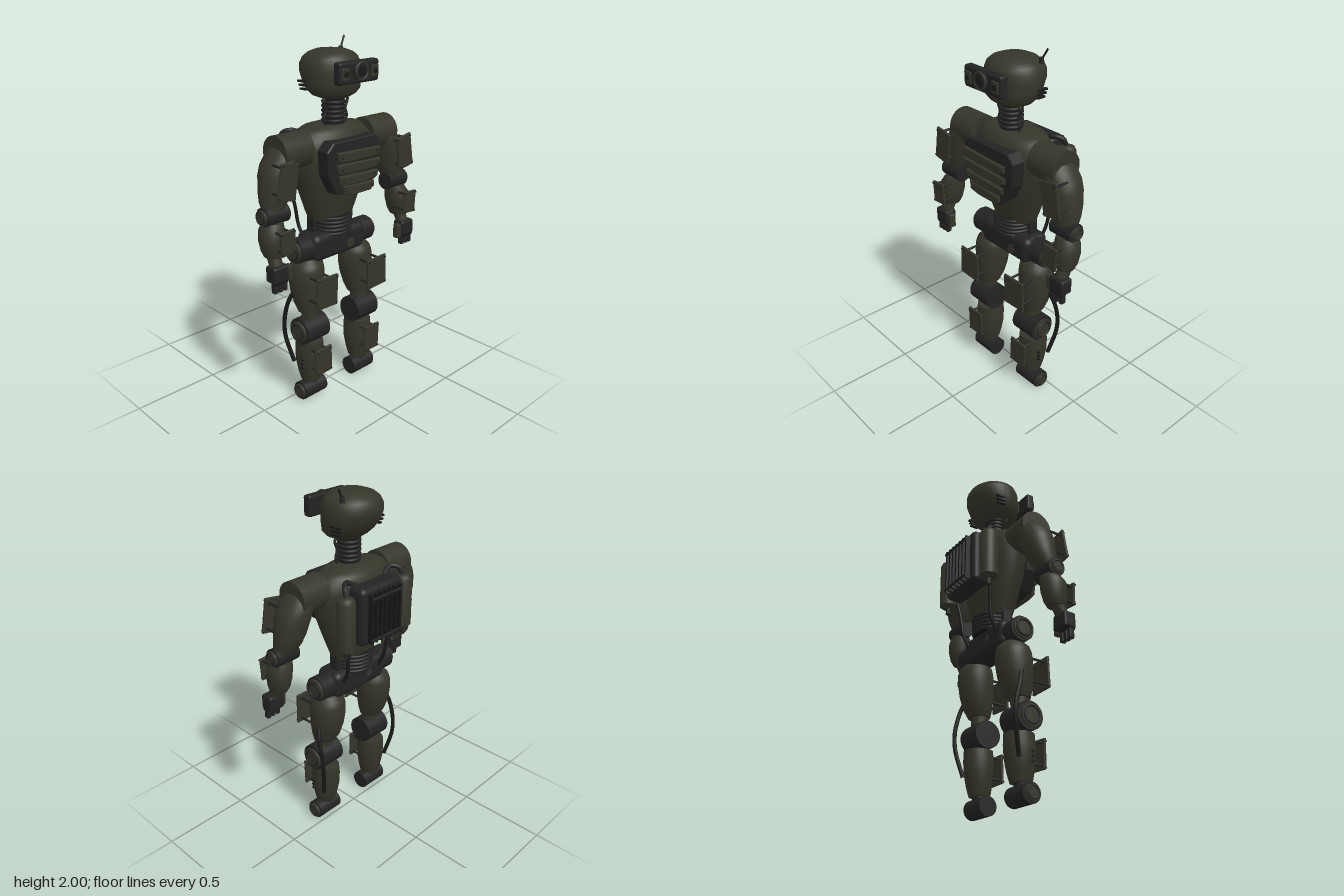
import * as THREE from 'three';
import { toCreasedNormals } from 'three/addons/utils/BufferGeometryUtils.js';
import { RoundedBoxGeometry } from 'three/addons/geometries/RoundedBoxGeometry.js';

const material = (name, color) => {
  const m = new THREE.MeshStandardMaterial({ color });
  m.name = name;
  return m;
};

export function createModel() {
  const olive = material('olive paint', 0x36352a);
  const dark = material('dark metal', 0x232324);
  const black = material('black rubber', 0x191919);
  const root = new THREE.Group();
  root.name = 'robot';

  const add = (name, geo, mat, x = 0, y = 0, z = 0, parent = root) => {
    const m = new THREE.Mesh(geo, mat);
    m.name = name;
    m.position.set(x, y, z);
    parent.add(m);
    return m;
  };
  const box = (w, h, d) => new THREE.BoxGeometry(w, h, d);
  const rbox = (w, h, d, r) => new RoundedBoxGeometry(w, h, d, 3, r);
  // cylinder lying along x or z
  const cylX = (r, len, n = 32) => new THREE.CylinderGeometry(r, r, len, n).rotateZ(Math.PI / 2);
  const cylZ = (r, len, n = 32) => new THREE.CylinderGeometry(r, r, len, n).rotateX(Math.PI / 2);
  const tube = (pts, r) => new THREE.TubeGeometry(
    new THREE.CatmullRomCurve3(pts.map(p => new THREE.Vector3(...p))), 24, r, 10);

  // closed body through elliptical sections [y, cx, cz, rx, rz], bottom to top
  const loft = (sections, s = 1, n = 36) => {
    const f = sections[0], l = sections[sections.length - 1];
    const rings = [[f[0], f[1], f[2], 0, 0], ...sections, [l[0], l[1], l[2], 0, 0]];
    const pos = [], idx = [];
    rings.forEach(([y, cx, cz, rx, rz]) => {
      for (let j = 0; j < n; j++) {
        const a = j / n * Math.PI * 2;
        pos.push(cx * s + rx * Math.sin(a), y, cz + rz * Math.cos(a));
      }
    });
    for (let i = 0; i < rings.length - 1; i++) for (let j = 0; j < n; j++) {
      const a = i * n + j, b = i * n + (j + 1) % n;
      if (i > 0) idx.push(a, b, b + n);
      else idx.push(a, b + n, a + n);
      if (i > 0 && i < rings.length - 2) idx.push(a, b + n, a + n);
    }
    const g = new THREE.BufferGeometry();
    g.setAttribute('position', new THREE.Float32BufferAttribute(pos, 3));
    g.setIndex(idx);
    return toCreasedNormals(g, 0.75);
  };

  // thin armour plate held on four struts with bolts
  const armour = (name, w, h, x, y, z, depth, tilt = 0) => {
    const g = new THREE.Group();
    g.name = name;
    g.position.set(x, y, z);
    g.rotation.z = tilt;
    root.add(g);
    add('plate', rbox(w, h, 0.014, 0.005), olive, 0, 0, 0, g);
    for (const i of [-1, 1]) for (const j of [-1, 1]) {
      add('strut', cylZ(0.007, depth, 10), dark, i * w * 0.3, j * h * 0.36, -depth / 2, g);
      add('bolt', cylZ(0.006, 0.008, 8), dark, i * w * 0.42, j * h * 0.42, 0.008, g);
    }
  };

  // joint barrel with an end cap on its outer side
  const joint = (name, r, x0, x1, y, z, s, mat) => {
    add(name, cylX(r, x1 - x0), mat, s * (x0 + x1) / 2, y, z);
    add(name + 'Cap', cylX(r * 0.78, 0.016), olive, s * (x1 + 0.006), y, z);
    add(name + 'Ring', new THREE.TorusGeometry(r * 0.6, r * 0.08, 8, 28).rotateY(Math.PI / 2), dark, s * (x1 + 0.014), y, z);
  };

  // head
  add('head', loft([
    [1.71, 0, 0.04, 0.09, 0.075], [1.725, 0, 0.04, 0.13, 0.095], [1.75, 0, 0.036, 0.155, 0.118],
    [1.79, 0, 0.022, 0.164, 0.137], [1.84, 0, 0.01, 0.168, 0.149], [1.88, 0, 0.008, 0.164, 0.15],
    [1.91, 0, 0.01, 0.15, 0.138], [1.932, 0, 0.012, 0.122, 0.115], [1.947, 0, 0.014, 0.08, 0.08],
    [1.951, 0, 0.015, 0.04, 0.04]], 1, 48), olive);
  add('visorMount', box(0.1, 0.07, 0.08), dark, 0, 1.85, 0.15);
  add('visor', rbox(0.28, 0.112, 0.05, 0.014), dark, 0, 1.852, 0.198);
  add('mainLens', cylZ(0.046, 0.02), dark, 0, 1.858, 0.228);
  add('mainLensRim', new THREE.TorusGeometry(0.042, 0.006, 8, 32), olive, 0, 1.858, 0.236);
  add('mainLensGlass', cylZ(0.024, 0.006, 24), black, 0, 1.858, 0.239);
  for (const s of [-1, 1]) {
    add('sideLensFrame', rbox(0.05, 0.06, 0.014, 0.005), olive, s * 0.103, 1.85, 0.224);
    add('sideLens', cylZ(0.015, 0.008, 20), black, s * 0.103, 1.85, 0.231);
    for (let i = 0; i < 3; i++)
      add('headVent', box(0.02, 0.009, 0.07 - i * 0.01), black, s * (0.157 - i * 0.004), 1.795 - i * 0.02, -0.025);
    add('neckCable', tube([[s * 0.07, 1.72, 0.05], [s * 0.088, 1.69, 0.05], [s * 0.072, 1.64, 0.05], [s * 0.082, 1.6, 0.05], [s * 0.065, 1.55, 0.05]], 0.007), dark);
  }
  add('antennaBase', new THREE.CylinderGeometry(0.012, 0.014, 0.03, 12), dark, 0.13, 1.932, -0.047);
  add('antenna', tube([[0.13, 1.935, -0.047], [0.148, 1.967, -0.052], [0.165, 1.997, -0.057]], 0.005), black);

  // neck and waist bellows
  const bellows = (name, y0, y1, r, z, count) => {
    add(name + 'Core', new THREE.CylinderGeometry(r * 0.88, r * 0.88, y1 - y0, 28), black, 0, (y0 + y1) / 2, z);
    for (let i = 0; i < count; i++)
      add(name + 'Ring', new THREE.TorusGeometry(r * 0.9, 0.009, 8, 32).rotateX(Math.PI / 2), dark,
        0, y0 + (i + 0.5) * (y1 - y0) / count, z);
  };
  bellows('neck', 1.55, 1.72, 0.063, 0.035, 7);
  bellows('waist', 0.96, 1.07, 0.12, 0.012, 5);

  // torso
  add('torso', loft([
    [1.05, 0, 0.01, 0.145, 0.085], [1.1, 0, 0.01, 0.165, 0.1], [1.2, 0, 0.012, 0.203, 0.12],
    [1.3, 0, 0.015, 0.238, 0.136], [1.4, 0, 0.015, 0.26, 0.146], [1.46, 0, 0.015, 0.266, 0.148],
    [1.505, 0, 0.012, 0.25, 0.14], [1.54, 0, 0.01, 0.215, 0.125], [1.558, 0, 0.01, 0.185, 0.108],
    [1.57, 0, 0.02, 0.1, 0.08]], 1, 56), olive);
  for (const s of [-1, 1]) add('waistStrut', box(0.02, 0.13, 0.05), dark, s * 0.14, 1.04, 0.01);

  // chest plate with louvres
  const outline = (pts, depth) => new THREE.ExtrudeGeometry(new THREE.Shape(pts.map(p => new THREE.Vector2(...p))),
    { depth, bevelEnabled: true, bevelSize: 0.006, bevelThickness: 0.005, bevelSegments: 1 });
  add('chestPlate', outline([[-0.15, 1.505], [-0.19, 1.465], [-0.18, 1.34], [-0.125, 1.24], [0.09, 1.215],
    [0.125, 1.24], [0.18, 1.34], [0.19, 1.465], [0.15, 1.505]], 0.07), dark, 0, 0, 0.122);
  const louvres = [[0.15, 1.435], [0.152, 1.372], [0.138, 1.31], [0.11, 1.255]];
  louvres.forEach(([w, y]) => {
    add('chestLouvre', outline([[-w, y + 0.025], [-w + 0.01, y - 0.014], [-w * 0.4, y - 0.024], [w * 0.8, y - 0.024],
      [w, y - 0.01], [w, y + 0.012], [w * 0.5, y + 0.014]], 0.012), olive, 0, 0, 0.215);
    for (const s of [-1, 1]) {
      add('louvreStandoff', cylZ(0.01, 0.04, 10), dark, s * w * 0.6, y, 0.21);
      add('louvreBolt', cylZ(0.006, 0.008, 8), dark, s * w * 0.85, y, 0.234);
    }
  });

  // backpack with cooling fins
  add('backpack', rbox(0.31, 0.32, 0.11, 0.03), dark, 0, 1.35, -0.155);
  for (let i = -3; i <= 3; i++) add('coolingFin', box(0.012, 0.27, 0.035), black, i * 0.036, 1.345, -0.22);
  for (const y of [1.23, 1.46]) add('finRail', rbox(0.23, 0.014, 0.012, 0.004), dark, 0, y, -0.239);

  // pelvis
  add('pelvisBlock', rbox(0.39, 0.155, 0.165, 0.04), dark, 0, 0.908, 0.02);
  add('pelvisBarrel', cylX(0.07, 0.55), dark, 0, 0.908, 0.02);
  add('paintPatch', cylZ(0.03, 0.006, 7), olive, 0.07, 0.89, 0.102);
  add('paintPatch', cylZ(0.022, 0.006, 6), olive, -0.06, 0.91, -0.062);

  for (const s of [-1, 1]) {
    // tanks and hoses
    const tank = loft([[1.18, 0.218, -0.155, 0.03, 0.03], [1.195, 0.218, -0.155, 0.05, 0.05],
      [1.455, 0.218, -0.155, 0.05, 0.05], [1.475, 0.218, -0.155, 0.04, 0.04], [1.485, 0.218, -0.155, 0.02, 0.02]], s, 28);
    add('tank', tank, olive);
    add('tankHose', tube([[s * 0.215, 1.475, -0.155], [s * 0.205, 1.52, -0.135], [s * 0.165, 1.53, -0.105], [s * 0.1, 1.5, -0.12]], 0.014), dark);
    add('tankValve', new THREE.CylinderGeometry(0.014, 0.014, 0.04, 12), dark, s * 0.218, 1.165, -0.155);
    add('lowerHose', tube([[s * 0.17, 1.2, -0.12], [s * 0.155, 1.1, -0.105], [s * 0.145, 1.0, -0.092], [s * 0.14, 0.92, -0.05]], 0.01), black);

    // hip caps
    add('hipCap', cylX(0.06, 0.02), olive, s * 0.28, 0.908, 0.02);
    add('hipRing', new THREE.TorusGeometry(0.045, 0.008, 8, 28).rotateY(Math.PI / 2), dark, s * 0.29, 0.908, 0.02);

    // arm
    add('shoulder', cylX(0.093, 0.185, 40), olive, s * 0.312, 1.472, 0.037);
    add('upperArm', loft([[1.2, 0.445, 0.06, 0.06, 0.055], [1.24, 0.432, 0.052, 0.078, 0.07], [1.29, 0.421, 0.045, 0.085, 0.083],
      [1.37, 0.402, 0.04, 0.094, 0.093], [1.42, 0.385, 0.038, 0.094, 0.094], [1.47, 0.355, 0.037, 0.085, 0.09], [1.5, 0.35, 0.037, 0.06, 0.07]], s), olive);
    armour('upperArmArmour', 0.115, 0.19, s * 0.43, 1.36, 0.165, 0.09, s * 0.17);
    joint('elbow', 0.05, 0.378, 0.52, 1.175, 0.07, s, dark);
    add('forearm', loft([[0.965, 0.478, 0.09, 0.045, 0.05], [0.995, 0.477, 0.085, 0.056, 0.064], [1.05, 0.476, 0.08, 0.066, 0.072],
      [1.1, 0.472, 0.078, 0.067, 0.07], [1.14, 0.46, 0.072, 0.055, 0.055]], s), olive);
    armour('forearmArmour', 0.095, 0.13, s * 0.46, 1.06, 0.19, 0.09, s * -0.06);
    add('wrist', loft([[0.91, 0.483, 0.125, 0.035, 0.033], [0.98, 0.48, 0.095, 0.038, 0.04]], s, 24), olive);

    // hand
    add('palm', rbox(0.1, 0.09, 0.075, 0.014), dark, s * 0.485, 0.885, 0.132);
    for (let i = 0; i < 3; i++) {
      add('finger', rbox(0.025, 0.065, 0.032, 0.008), dark, s * (0.453 + i * 0.031), 0.818, 0.145);
      add('knuckle', cylX(0.018, 0.024, 14), black, s * (0.453 + i * 0.031), 0.845, 0.148);
    }
    add('thumb', rbox(0.036, 0.085, 0.04, 0.009), olive, s * 0.422, 0.875, 0.14);

    // leg
    add('thigh', loft([[0.545, 0.193, 0.045, 0.066, 0.06], [0.59, 0.192, 0.035, 0.08, 0.08], [0.66, 0.191, 0.026, 0.094, 0.094],
      [0.73, 0.19, 0.021, 0.1, 0.1], [0.79, 0.188, 0.02, 0.097, 0.098], [0.822, 0.185, 0.02, 0.088, 0.09],
      [0.85, 0.185, 0.02, 0.06, 0.06]], s), olive);
    armour('thighArmour', 0.15, 0.18, s * 0.193, 0.7, 0.19, 0.09, s * 0.04);
    add('kneeNeck', new THREE.CylinderGeometry(0.048, 0.048, 0.06, 24), olive, s * 0.193, 0.53, 0.05);
    joint('knee', 0.077, 0.115, 0.278, 0.437, 0.055, s, dark);
    add('shin', loft([[0.11, 0.193, 0.05, 0.055, 0.058], [0.16, 0.193, 0.047, 0.068, 0.069], [0.23, 0.193, 0.044, 0.08, 0.079],
      [0.3, 0.193, 0.043, 0.08, 0.083], [0.358, 0.193, 0.043, 0.073, 0.082]], s), olive);
    armour('shinArmour', 0.12, 0.16, s * 0.193, 0.265, 0.16, 0.07, s * -0.03);
    for (let i = 0; i < 3; i++) add('shinStud', cylX(0.009, 0.02, 8), black, s * 0.265, 0.21 + i * 0.025, 0.07);
    add('ankle', new THREE.CylinderGeometry(0.04, 0.04, 0.05, 24), dark, s * 0.193, 0.105, 0.053);
    joint('foot', 0.053, 0.115, 0.275, 0.053, 0.055, s, dark);
    add('legCable', tube([[s * 0.272, 0.675, 0.012], [s * 0.296, 0.6, -0.015], [s * 0.3, 0.48, -0.045],
      [s * 0.295, 0.38, -0.045], [s * 0.265, 0.22, -0.01]], 0.012), black);
  }
  return root;
}
